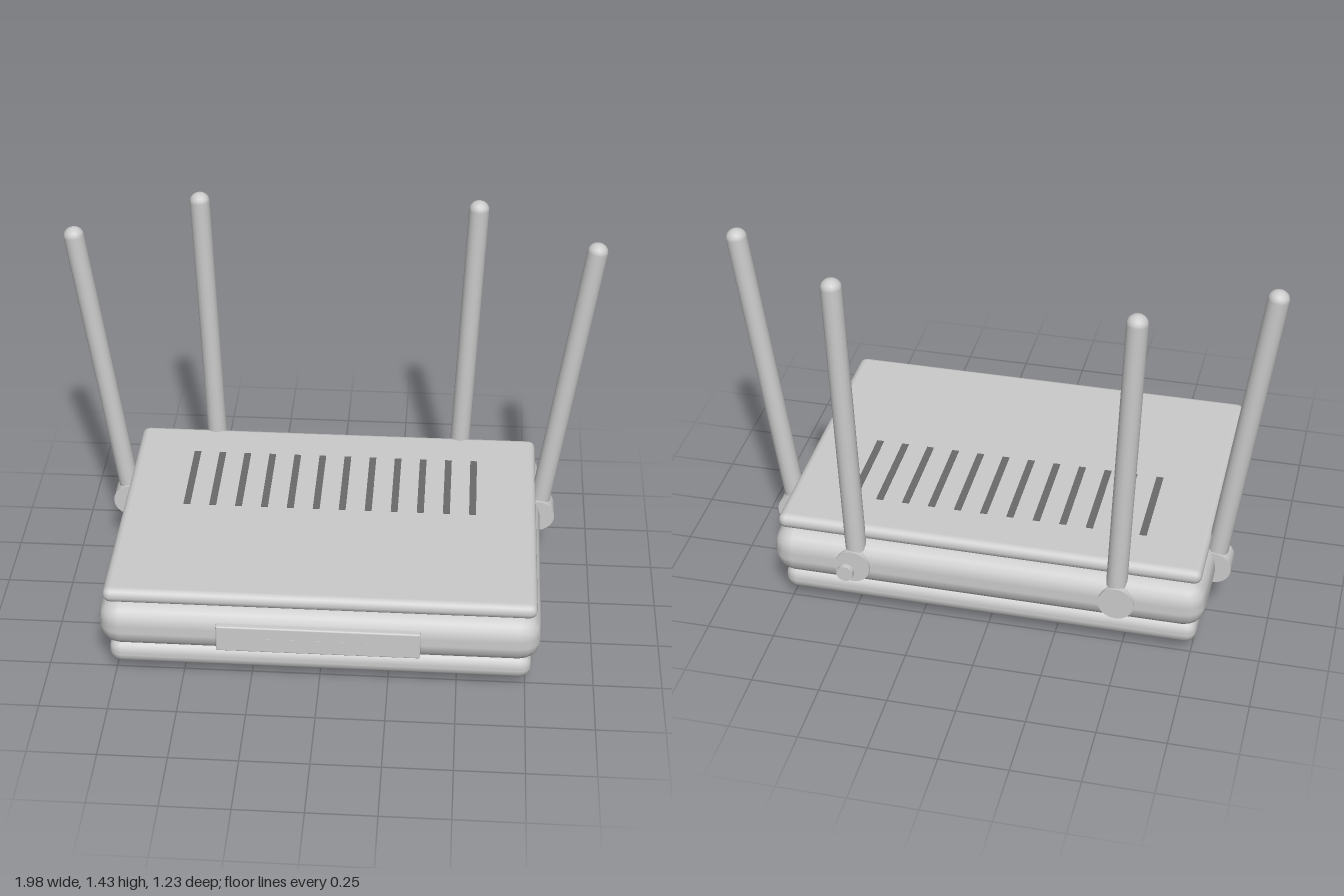
import * as THREE from 'three';
import { RoundedBoxGeometry } from 'three/addons/geometries/RoundedBoxGeometry.js';

const grey = new THREE.MeshStandardMaterial({ color: 0xcccccc });
const dark = new THREE.MeshStandardMaterial({ color: 0x6a6a6a });
const light = new THREE.MeshStandardMaterial({ color: 0xf4f4f4 });

export function createModel() {
  const model = new THREE.Group();
  model.name = 'router';

  const add = (name, geometry, x, y, z, material = grey) => {
    const mesh = new THREE.Mesh(geometry, material);
    mesh.name = name;
    mesh.position.set(x, y, z);
    model.add(mesh);
    return mesh;
  };
  // Rounded slab given by its bottom and top heights
  const slab = (name, w, y0, y1, d, r, x, z) =>
    add(name, new RoundedBoxGeometry(w, y1 - y0, d, 2, r), x, (y0 + y1) / 2, z);

  // Housing: base tray, main body and lid
  slab('baseTray', 1.54, 0.053, 0.152, 1.1, 0.045, 0, 0.011);
  slab('mainBody', 1.6, 0.148, 0.336, 1.185, 0.08, 0, 0.008);
  slab('lid', 1.56, 0.333, 0.391, 1.115, 0.028, 0, 0.012);

  // Four feet
  for (const x of [-0.557, 0.557])
    for (const z of [-0.338, 0.362]) slab('foot', 0.165, 0, 0.055, 0.165, 0.022, x, z);

  // Front panel with status lights
  slab('frontPanel', 0.735, 0.18, 0.287, 0.045, 0.006, 0, 0.593);
  for (let i = -2; i <= 2; i++)
    add('statusLight', new THREE.BoxGeometry(0.018, 0.018, 0.006), i * 0.09, 0.233, 0.6145, light);

  // Vent slots across the lid
  const slot = new THREE.BoxGeometry(0.026, 0.01, 0.365);
  for (let i = 0; i < 12; i++)
    add('ventSlot', slot, (i - 5.5) * 0.0982, 0.388, -0.1825, dark);

  // Antenna: straight rod with a domed tip, leaning outwards from a round hinge
  const L = 1.125, r = 0.038, dome = 0.034;
  const profile = [new THREE.Vector2(0, 0), new THREE.Vector2(r, 0), new THREE.Vector2(r, 0)];
  for (let i = 0; i <= 5; i++) {
    const a = (i / 5) * Math.PI / 2;
    profile.push(new THREE.Vector2(r * Math.cos(a), L - dome + dome * Math.sin(a)));
  }
  const rod = new THREE.LatheGeometry(profile, 16);
  const hinge = (len) => new THREE.CylinderGeometry(0.065, 0.065, len, 20).rotateX(Math.PI / 2);

  for (const s of [-1, 1]) {
    add('sideHinge', hinge(0.09), s * 0.793, 0.245, -0.265);
    add('sideAntenna', rod, s * 0.802, 0.298, -0.268).rotation.z = -s * 0.14;
    add('rearHinge', hinge(0.075), s * 0.486, 0.245, -0.556);
    add('rearAntenna', rod, s * 0.481, 0.303, -0.549).rotation.z = -s * 0.039;
  }

  // Small round power socket at the back
  add('powerSocket', new THREE.CylinderGeometry(0.031, 0.031, 0.06, 16).rotateX(Math.PI / 2), 0.51, 0.223, -0.584);

  return model;
}
